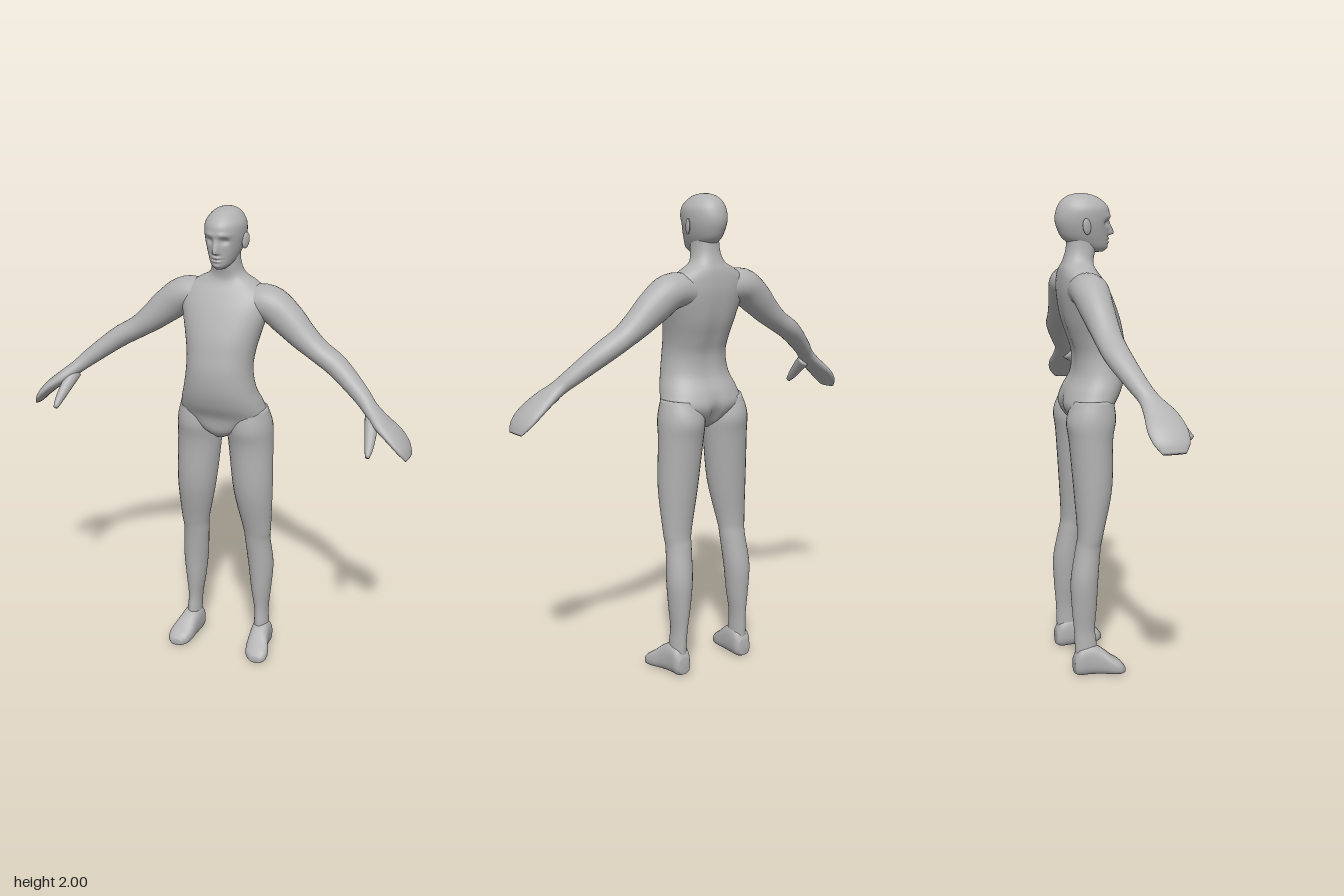
import * as THREE from 'three';

const skin = new THREE.MeshStandardMaterial({ color: 0xb2b2b2 });
const X = new THREE.Vector3(1, 0, 0), Y = new THREE.Vector3(0, 1, 0), Z = new THREE.Vector3(0, 0, 1);

// Smooth skin through rows of [x, y, z, radius along u, radius along v].
// v follows the path unless fixed; power squares off the section; sculpt moves single points.
function loft(rows, u, { v = null, side = 1, power = 2, sides = 28, steps = 5, sculpt = null } = {}) {
  const path = new THREE.CatmullRomCurve3(rows.map(r => new THREE.Vector3(r[0], r[1], r[2])), false, 'catmullrom', 0.5);
  const radii = new THREE.CatmullRomCurve3(rows.map(r => new THREE.Vector3(r[3], r[4], 0)), false, 'catmullrom', 0.5);
  const rings = (rows.length - 1) * steps;
  const pos = [], index = [];
  const round = t => Math.sign(t) * Math.pow(Math.abs(t), 2 / power);
  for (let i = -1; i <= rings + 1; i++) {
    const t = THREE.MathUtils.clamp(i / rings, 0, 1);
    const c = path.getPoint(t), r = radii.getPoint(t);
    const across = v || path.getTangent(t).cross(u).normalize();
    const open = i < 0 || i > rings ? 0 : 1; // end rings close to a point
    for (let j = 0; j < sides; j++) {
      const a = j / sides * Math.PI * 2;
      const p = c.clone()
        .addScaledVector(u, round(Math.cos(a)) * r.x * open)
        .addScaledVector(across, round(Math.sin(a)) * r.y * open);
      if (sculpt) sculpt(p);
      pos.push(p.x * side, p.y, p.z);
    }
  }
  for (let i = 0; i < rings + 2; i++) {
    for (let j = 0; j < sides; j++) {
      const k = (j + 1) % sides;
      const a = i * sides + j, b = i * sides + k, c = a + sides, d = b + sides;
      if (side > 0) index.push(a, b, c, b, d, c);
      else index.push(a, c, b, b, c, d);
    }
  }
  const g = new THREE.BufferGeometry();
  g.setAttribute('position', new THREE.Float32BufferAttribute(pos, 3));
  g.setIndex(index);
  g.computeVertexNormals();
  return g;
}

const bump = (d, w) => Math.exp(-(d * d) / (w * w));

// Eye sockets, brow, nose, lips and chin
function sculptFace(p) {
  if (p.z < -0.03) return;
  const x = Math.abs(p.x), front = THREE.MathUtils.smoothstep(p.z, -0.03, 0.01);
  const bridge = THREE.MathUtils.smoothstep(p.y, 1.828, 1.838) * (1 - THREE.MathUtils.smoothstep(p.y, 1.838, 1.9));
  let d = 0.026 * bridge * bump(x, 0.012);
  d -= 0.014 * bump(x - 0.032, 0.017) * bump(p.y - 1.883, 0.013);
  d += 0.006 * bump(x - 0.03, 0.028) * bump(p.y - 1.908, 0.01);
  d += 0.007 * bump(x, 0.018) * (bump(p.y - 1.817, 0.005) + bump(p.y - 1.803, 0.005));
  d -= 0.004 * bump(x, 0.025) * bump(p.y - 1.81, 0.003);
  d += 0.005 * bump(x, 0.018) * bump(p.y - 1.782, 0.009);
  p.z += d * front;
}

// Spine groove and the hollow between the buttocks
function sculptBack(p) {
  if (p.z > -0.08) return;
  p.z += 0.008 * bump(p.x, 0.03) * bump(p.y - 1.42, 0.16);
  p.z += 0.025 * bump(p.x, 0.02) * bump(p.y - 1.11, 0.06);
}

export function createModel() {
  const model = new THREE.Group();
  model.name = 'humanFigure';
  const add = (name, geometry, parent = model) => {
    const m = new THREE.Mesh(geometry, skin);
    m.name = name;
    parent.add(m);
    return m;
  };

  // Torso running up into the neck
  add('torso', loft([
    [0, 1.045, -0.035, 0.05, 0.03],
    [0, 1.08, -0.045, 0.085, 0.10],
    [0, 1.14, -0.055, 0.108, 0.182],
    [0, 1.20, -0.033, 0.117, 0.176],
    [0, 1.27, -0.005, 0.11, 0.153],
    [0, 1.35, 0, 0.11, 0.14],
    [0, 1.42, -0.015, 0.115, 0.143],
    [0, 1.50, -0.037, 0.118, 0.16],
    [0, 1.60, -0.064, 0.104, 0.186],
    [0, 1.66, -0.08, 0.086, 0.178],
    [0, 1.70, -0.09, 0.07, 0.125],
    [0, 1.73, -0.087, 0.062, 0.075],
    [0, 1.78, -0.075, 0.06, 0.057],
    [0, 1.86, -0.07, 0.06, 0.055],
  ], Z, { v: X, power: 2.2, sides: 48, sculpt: sculptBack }));

  // Head with sculpted face
  add('head', loft([
    [0, 1.766, -0.01, 0.03, 0.02],
    [0, 1.785, -0.03, 0.065, 0.042],
    [0, 1.82, -0.055, 0.094, 0.06],
    [0, 1.86, -0.066, 0.106, 0.073],
    [0, 1.90, -0.068, 0.113, 0.08],
    [0, 1.94, -0.066, 0.107, 0.079],
    [0, 1.97, -0.07, 0.086, 0.063],
    [0, 1.99, -0.073, 0.055, 0.041],
    [0, 2.0, -0.075, 0.018, 0.014],
  ], Z, { v: X, sides: 80, steps: 10, sculpt: sculptFace }));

  for (const side of [1, -1]) {
    const label = side > 0 ? 'left' : 'right';

    const ear = new THREE.SphereGeometry(1, 16, 12);
    ear.scale(0.008, 0.033, 0.02).rotateX(-0.15).rotateY(-side * 0.4);
    ear.translate(side * 0.083, 1.872, -0.07);
    add(label + 'Ear', ear);

    // Shoulder, arm and flat hand in one sweep
    add(label + 'Arm', loft([
      [0.08, 1.62, -0.085, 0.07, 0.065],
      [0.18, 1.622, -0.085, 0.077, 0.072],
      [0.26, 1.567, -0.08, 0.068, 0.07],
      [0.33, 1.507, -0.072, 0.06, 0.058],
      [0.40, 1.455, -0.065, 0.055, 0.047],
      [0.49, 1.40, -0.052, 0.053, 0.044],
      [0.60, 1.315, -0.01, 0.043, 0.035],
      [0.65, 1.272, 0.018, 0.045, 0.029],
      [0.70, 1.232, 0.04, 0.064, 0.028],
      [0.76, 1.185, 0.047, 0.077, 0.025],
      [0.80, 1.143, 0.052, 0.07, 0.019],
      [0.822, 1.108, 0.055, 0.045, 0.009],
    ], Z, { side }));

    add(label + 'Thumb', loft([
      [0.66, 1.245, 0.035, 0.028, 0.028],
      [0.672, 1.205, 0.085, 0.025, 0.026],
      [0.682, 1.16, 0.135, 0.018, 0.019],
      [0.686, 1.13, 0.168, 0.009, 0.011],
    ], X, { side, sides: 16 }));

    add(label + 'Leg', loft([
      [0.165, 0.03, -0.1, 0.042, 0.033],
      [0.163, 0.12, -0.1, 0.047, 0.031],
      [0.16, 0.20, -0.105, 0.045, 0.031],
      [0.157, 0.30, -0.105, 0.053, 0.044],
      [0.155, 0.42, -0.103, 0.058, 0.055],
      [0.145, 0.55, -0.085, 0.053, 0.056],
      [0.144, 0.62, -0.074, 0.055, 0.063],
      [0.13, 0.80, -0.06, 0.08, 0.085],
      [0.117, 1.0, -0.064, 0.091, 0.095],
      [0.112, 1.09, -0.062, 0.103, 0.097],
      [0.105, 1.17, -0.052, 0.085, 0.085],
    ], Z, { side }));

    // Foot, turned slightly outward
    add(label + 'Foot', loft([
      [0.165, 0.045, -0.152, 0.028, 0.035],
      [0.165, 0.06, -0.13, 0.04, 0.06],
      [0.166, 0.068, -0.09, 0.042, 0.068],
      [0.172, 0.058, -0.04, 0.045, 0.058],
      [0.182, 0.04, 0.005, 0.052, 0.04],
      [0.188, 0.028, 0.04, 0.046, 0.028],
      [0.192, 0.019, 0.06, 0.025, 0.014],
    ], X, { v: Y, side, power: 2.6 }));
  }
  return model;
}
